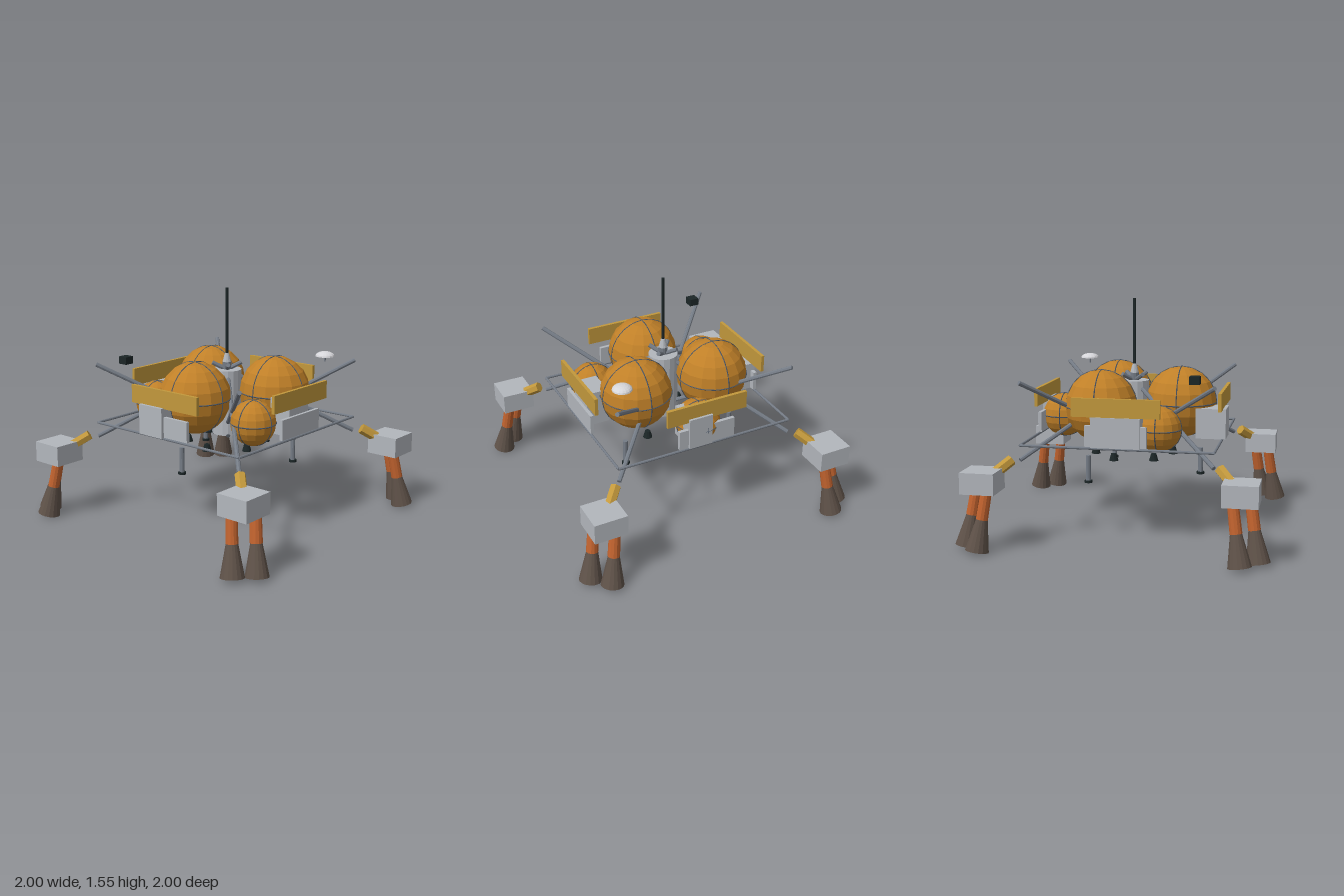
import * as THREE from 'three';

const mat = (name, color, extra = {}) => {
  const m = new THREE.MeshStandardMaterial({ color, flatShading: true, ...extra });
  m.name = name;
  return m;
};

export function createModel() {
  const root = new THREE.Group();
  root.name = 'descentStage';
  const M = {
    tank: mat('tankAmber', 0xc08028),
    foil: mat('goldFoil', 0xc2983c),
    grey: mat('lightGrey', 0xb2b6bc),
    rod: mat('strutGrey', 0x747b85),
    seam: mat('seamBlueGrey', 0x4a5564),
    black: mat('black', 0x1c2627),
    copper: mat('copper', 0xc0622e),
    nozzle: mat('nozzleBrown', 0x5e5148, { side: THREE.DoubleSide }),
    dish: mat('dishWhite', 0xd6d6da, { side: THREE.DoubleSide }),
  };
  const V = (x, y, z) => new THREE.Vector3(x, y, z);
  const add = (name, geo, m, x = 0, y = 0, z = 0, parent = root) => {
    const mesh = new THREE.Mesh(geo, m);
    mesh.name = name;
    mesh.position.set(x, y, z);
    parent.add(mesh);
    return mesh;
  };
  // Box given by its minimum and maximum corners
  const boxFrom = (name, m, a, b) => add(name,
    new THREE.BoxGeometry(b[0] - a[0], b[1] - a[1], b[2] - a[2]), m,
    (a[0] + b[0]) / 2, (a[1] + b[1]) / 2, (a[2] + b[2]) / 2);
  // Cylinder or cone running from a (radius ra) to b (radius rb)
  const rod = (name, m, a, b, ra, rb = ra, sides = 8, open = false) => {
    const d = b.clone().sub(a);
    const mesh = add(name, new THREE.CylinderGeometry(rb, ra, d.length(), sides, 1, open), m);
    mesh.position.copy(a).add(b).multiplyScalar(0.5);
    mesh.quaternion.setFromUnitVectors(V(0, 1, 0), d.normalize());
    return mesh;
  };

  // Fuel tanks with an equator seam and two meridian seams
  const tank = (name, r, x, y, z) => {
    const g = new THREE.Group();
    g.name = name;
    g.position.set(x, y, z);
    root.add(g);
    add('shell', new THREE.SphereGeometry(r, 16, 10), M.tank, 0, 0, 0, g);
    for (const [rx, ry] of [[Math.PI / 2, 0], [0, 0], [0, Math.PI / 2]]) {
      const ring = add('seam', new THREE.TorusGeometry(r - 0.001, 0.004, 4, 32), M.seam, 0, 0, 0, g);
      ring.rotation.set(rx, ry, 0);
    }
  };
  tank('frontMainTank', 0.24, 0, 0.86, 0.325);
  tank('leftMainTank', 0.24, 0.285, 0.86, -0.165);
  tank('rightMainTank', 0.24, -0.285, 0.86, -0.165);
  tank('backSmallTank', 0.15, 0, 0.745, -0.495);
  tank('leftSmallTank', 0.15, 0.427, 0.745, 0.243);
  tank('rightSmallTank', 0.15, -0.427, 0.745, 0.243);

  // Central drum, mast base and antenna
  rod('centralDrum', M.grey, V(0, 0.55, 0), V(0, 1.0, 0), 0.1, 0.1, 16);
  rod('drumOutlet', M.rod, V(0, 0.543, 0), V(0, 0.55, 0), 0.03, 0.03, 12);
  rod('mastCollar', M.rod, V(0, 1.0, 0), V(0, 1.05, 0), 0.03, 0.03, 12);
  rod('mastCone', M.grey, V(0, 1.05, 0), V(0, 1.11, 0), 0.03, 0.014, 12);
  rod('antenna', M.black, V(0, 1.1, 0), V(0, 1.555, 0), 0.01);

  // Square frame, foil panels and equipment plates on the four sides
  const S = 0.625;
  for (let i = 0; i < 4; i++) {
    const side = new THREE.Group();
    side.name = 'frameSide';
    side.rotation.y = i * Math.PI / 2;
    root.add(side);
    const bar = add('frameBar', new THREE.CylinderGeometry(0.009, 0.009, 2 * S, 8), M.rod, 0, 0.64, S, side);
    bar.rotation.z = Math.PI / 2;
    add('foilPanel', new THREE.BoxGeometry(0.57, 0.12, 0.022), M.foil, 0, 0.9, 0.618, side);
    add('equipmentPlate', new THREE.BoxGeometry(0.4, 0.135, 0.024), M.grey, 0, 0.718, 0.618, side);
  }

  // Equipment boxes
  boxFrom('frontEquipmentBox', M.grey, [-0.2, 0.645, 0.45], [0, 0.845, 0.65]);
  boxFrom('leftEquipmentBox', M.grey, [0.455, 0.65, -0.1], [0.61, 0.89, 0.1]);
  boxFrom('rightEquipmentBox', M.grey, [-0.635, 0.645, -0.16], [-0.445, 0.84, 0.07].map((v, k) => (k === 2 ? 0.16 : v)));
  boxFrom('backEquipmentBox', M.grey, [-0.03, 0.65, -0.645], [0.135, 0.865, -0.44]);

  // Corner struts, engine pods and paired engines
  for (const sx of [1, -1]) for (const sz of [1, -1]) {
    const P = (x, y, z) => V(sx * x, y, sz * z);
    rod('upperStrut', M.rod, P(0.625, 1.045, 0.625), P(-0.07, 0.55, -0.07), 0.015);
    rod('lowerStrut', M.rod, P(0.625, 0.545, 0.625), P(-0.07, 1.045, -0.07), 0.015);
    rod('foilSleeve', M.foil, P(0.668, 0.553, 0.668), P(0.755, 0.48, 0.755), 0.036, 0.036, 6);
    add('enginePod', new THREE.BoxGeometry(0.222, 0.138, 0.222), M.grey, sx * 0.816, 0.446, sz * 0.816);
    for (const swap of [false, true]) {
      const Q = (a, y, b) => (swap ? P(b, y, a) : P(a, y, b));
      const top = Q(0.77, 0.39, 0.87), end = Q(0.822, 0.018, 0.925);
      const mid = top.clone().lerp(end, 0.47);
      rod('engineChamber', M.copper, top, mid, 0.036, 0.039, 12);
      rod('engineBell', M.nozzle, mid, end, 0.037, 0.075, 16, true);
      rod('bellThroat', M.nozzle, mid.clone().lerp(top, 0.03), mid, 0.037, 0.037, 16);
    }
  }

  // Small thrusters in a ring underneath
  for (let i = 0; i < 6; i++) {
    const a = (20 + i * 60) * Math.PI / 180;
    const x = 0.267 * Math.cos(a), z = 0.267 * Math.sin(a);
    rod('thruster', M.black, V(x, 0.485, z), V(x, 0.533, z), 0.032, 0.018, 10);
  }

  // Three hanging posts with feet
  for (let i = 0; i < 3; i++) {
    const a = (90 + i * 120) * Math.PI / 180;
    const x = 0.46 * Math.cos(a), z = 0.46 * Math.sin(a);
    rod('post', M.rod, V(x, 0.37, z), V(x, 0.545, z), 0.017, 0.017, 10);
    rod('postFoot', M.black, V(x, 0.362, z), V(x, 0.378, z), 0.027, 0.027, 10);
  }

  // Dish antenna and sensor box
  const dome = add('dish', new THREE.SphereGeometry(0.066, 16, 5, 0, Math.PI * 2, 0, Math.PI / 2), M.dish, 0.505, 1.086, -0.437);
  dome.scale.y = 0.5;
  rod('dishStalk', M.rod, V(0.505, 1.05, -0.437), V(0.505, 1.1, -0.437), 0.006);
  add('sensorBox', new THREE.BoxGeometry(0.066, 0.05, 0.066), M.black, -0.483, 1.073, 0.483);

  return root;
}
